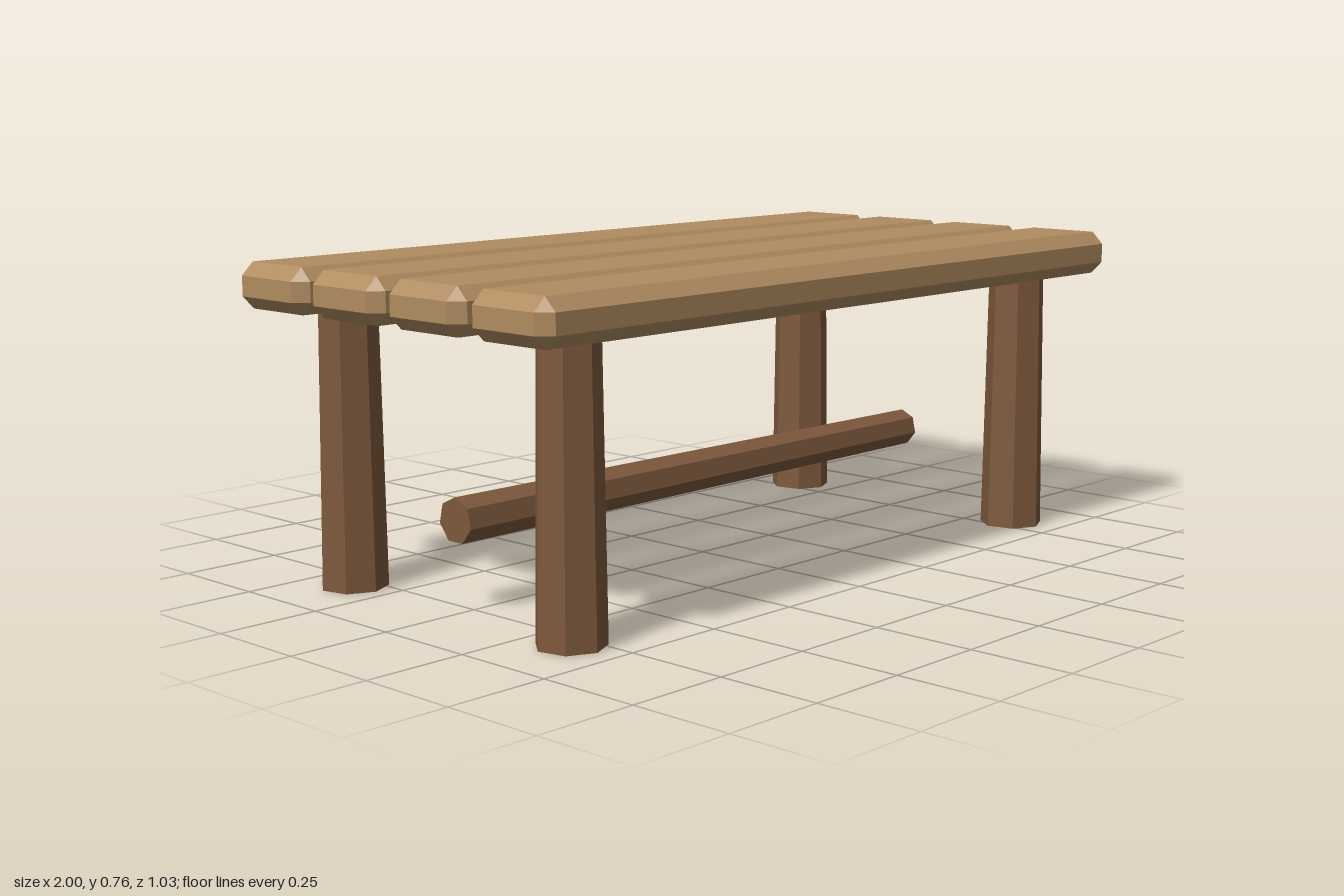
import * as THREE from 'three';
import { ConvexGeometry } from 'three/addons/geometries/ConvexGeometry.js';

// Box with every edge and corner cut off by the bevel c
function chamferedBox(w, h, d, c) {
  const points = [];
  for (const sx of [-1, 1]) for (const sy of [-1, 1]) for (const sz of [-1, 1]) {
    const x = w / 2, y = h / 2, z = d / 2;
    points.push(new THREE.Vector3(sx * x, sy * (y - c), sz * (z - c)));
    points.push(new THREE.Vector3(sx * (x - c), sy * y, sz * (z - c)));
    points.push(new THREE.Vector3(sx * (x - c), sy * (y - c), sz * z));
  }
  return new ConvexGeometry(points);
}

export function createModel() {
  const model = new THREE.Group();
  model.name = 'plankTable';

  const plankWood = new THREE.MeshStandardMaterial({ color: 0xb08c60 });
  plankWood.name = 'lightWood';
  const legWood = new THREE.MeshStandardMaterial({ color: 0x7d583c });
  legWood.name = 'darkWood';
  plankWood.flatShading = legWood.flatShading = true;

  const add = (name, geometry, material, x, y, z) => {
    const mesh = new THREE.Mesh(geometry, material);
    mesh.name = name;
    mesh.position.set(x, y, z);
    model.add(mesh);
  };

  // Four table top planks with narrow gaps
  const plank = chamferedBox(2, 0.107, 0.242, 0.03);
  for (let i = 0; i < 4; i++) {
    add('plank' + (i + 1), plank, plankWood, 0, 0.711, (i - 1.5) * 0.262);
  }

  // Four tapered seven-sided legs
  const legHeight = 0.66;
  const leg = new THREE.CylinderGeometry(0.071, 0.08, legHeight, 7);
  for (const [side, x] of [['Left', 0.8], ['Right', -0.8]]) {
    for (const [end, z] of [['front', 0.367], ['back', -0.366]]) {
      add(end + side + 'Leg', leg, legWood, x, legHeight / 2, z);
    }
  }

  // Slightly tapered rail running lengthwise beneath the top
  const rail = new THREE.CylinderGeometry(0.0535, 0.0475, 1.6, 7);
  rail.rotateZ(Math.PI / 2).rotateX(-Math.PI / 2);
  add('stretcherRail', rail, legWood, 0, 0.2115, 0);

  return model;
}
